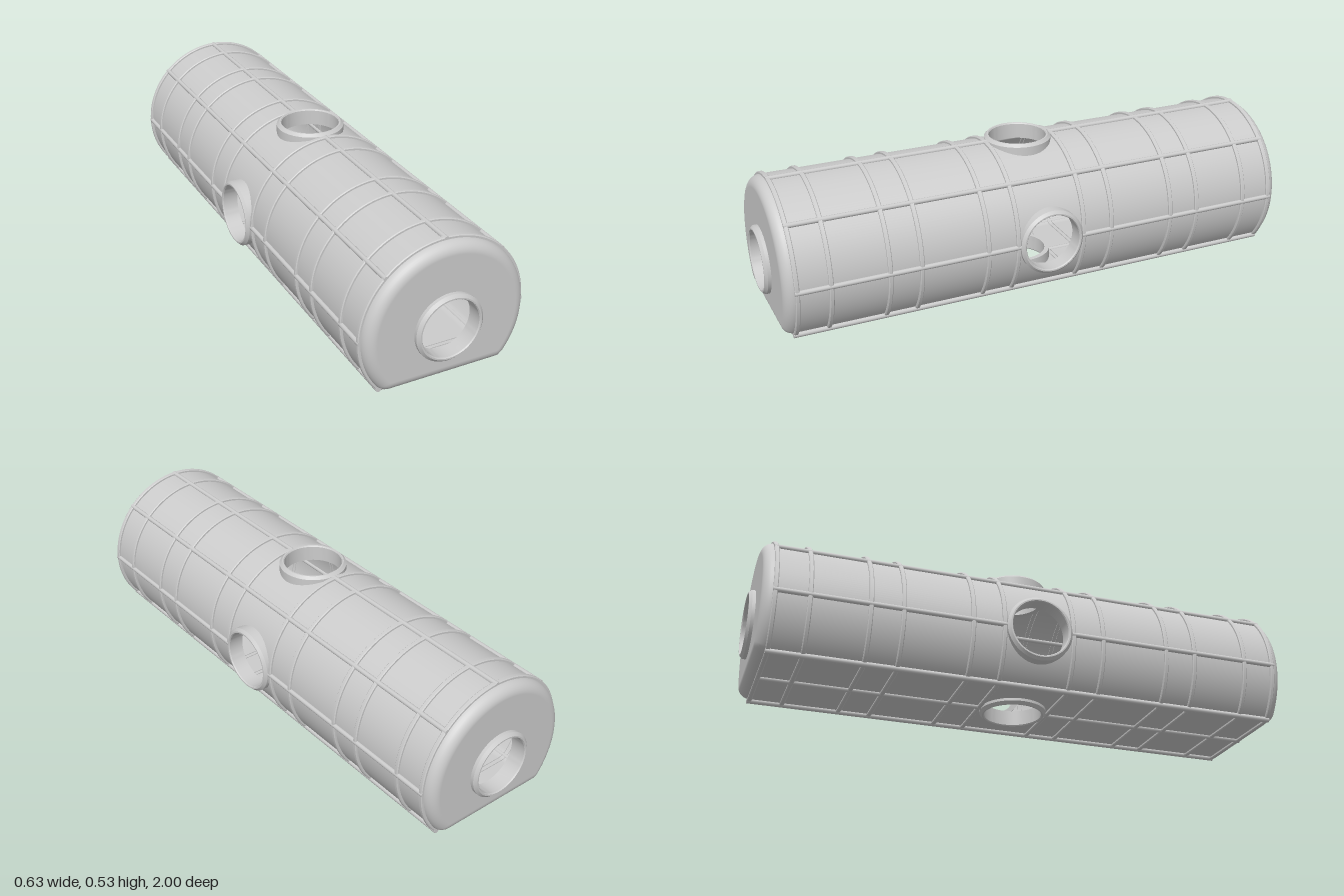
import * as THREE from 'three';
import { toCreasedNormals } from 'three/addons/utils/BufferGeometryUtils.js';

// D-shaped section: big arc, two small corner arcs, flat floor
const R = 0.295, CY = 0.216, FLOOR = 0.02, RF = 0.05;
const FX = Math.sqrt((R - RF) ** 2 - (CY - FLOOR - RF) ** 2);
const A = Math.atan2(CY - FLOOR - RF, FX);
const L1 = R * (Math.PI / 2 + A), L2 = RF * (Math.PI / 2 - A), HALF = L1 + L2 + FX;
const SIDE = R * Math.PI / 2;
const CORNER = L1 + L2 * 0.44;
const PATCH = 0.125, HOLE = 0.114, STRAIGHT = 0.938, ROUND = 0.04;

const material = new THREE.MeshStandardMaterial({ color: 0xcccccc, side: THREE.DoubleSide });

// Point and normal of the section at arc length s from the crown, offset outward by d
function section(s, d = 0) {
  if (s > HALF) s -= 2 * HALF;
  const sign = s < 0 ? -1 : 1, t = Math.abs(s);
  let th, x = 0, y = CY, r = R;
  if (t < L1) th = Math.PI / 2 - t / R;
  else if (t < L1 + L2) { th = -A - (t - L1) / RF; x = FX; y = FLOOR + RF; r = RF; }
  else { th = -Math.PI / 2; x = HALF - t; y = FLOOR + RF; r = RF; }
  const nx = Math.cos(th), ny = Math.sin(th);
  return { x: sign * (x + (r + d) * nx), y: y + (r + d) * ny, nx: sign * nx, ny };
}

// Grid surface; f(u, v) returns [s, d, z, tilt], tilt turning the normal towards +z
function surface(nu, nv, f) {
  const pos = [], nor = [], idx = [];
  for (let i = 0; i <= nu; i++) for (let j = 0; j <= nv; j++) {
    const [s, d, z, tilt = 0] = f(i / nu, j / nv);
    const p = section(s, d), c = Math.cos(tilt);
    pos.push(p.x, p.y, z);
    nor.push(p.nx * c, p.ny * c, Math.sin(tilt));
    if (i < nu && j < nv) {
      const a = i * (nv + 1) + j, b = a + nv + 1;
      idx.push(a, b, a + 1, b, b + 1, a + 1);
    }
  }
  const g = new THREE.BufferGeometry();
  g.setAttribute('position', new THREE.Float32BufferAttribute(pos, 3));
  g.setAttribute('normal', new THREE.Float32BufferAttribute(nor, 3));
  g.setIndex(idx);
  return g;
}

function add(parent, name, geometry) {
  const m = new THREE.Mesh(geometry, material);
  m.name = name;
  parent.add(m);
  return m;
}

const around = v => HALF * (2 * v - 1);

// Skin between the side openings
const strip = (s0, s1) => surface(1, 24, (u, v) => [s0 + (s1 - s0) * v, 0, PATCH * (2 * u - 1)]);

// Square patch of skin with a round opening
const holedPatch = s0 => surface(4, 64, (u, v) => {
  const t = v * Math.PI * 2, c = Math.cos(t), s = -Math.sin(t);
  const r = HOLE + (PATCH / Math.max(Math.abs(c), Math.abs(s)) - HOLE) * u;
  return [s0 + r * c, 0, r * s];
});

// Raised hoop with chamfered edges
const hoopProfile = [[-0.003, -0.008], [0.006, -0.008], [0.009, -0.005], [0.009, 0.005], [0.006, 0.008], [-0.003, 0.008]];
function hoop(z) {
  const n = hoopProfile.length - 1;
  return toCreasedNormals(surface(n, 160, (u, v) => {
    const [d, dz] = hoopProfile[Math.round(u * n)];
    return [around(v), d, z + dz];
  }), 0.5);
}

// Chamfered collar, mouth at local y = 0
const collarProfile = [[0.123, -0.06], [0.123, -0.01], [0.113, 0], [0.108, 0], [0.105, -0.004], [0.105, -0.06], [0.123, -0.06]];
const collarGeometry = toCreasedNormals(
  new THREE.LatheGeometry(collarProfile.map(p => new THREE.Vector2(...p)), 64), 0.5);

function endCap() {
  const pts = [];
  for (let i = 0; i < 192; i++) {
    const p = section(around(i / 192), -ROUND);
    pts.push(new THREE.Vector2(p.x, p.y));
  }
  const shape = new THREE.Shape(pts);
  shape.holes.push(new THREE.Path().absarc(0, CY, HOLE, 0, Math.PI * 2));
  return new THREE.ShapeGeometry(shape, 32).translate(0, 0, STRAIGHT + ROUND);
}

// Lengthwise rib at arc length s
function addRib(parent, s, z0, z1, d = 0.002, r = 0.009) {
  const p = section(s, d);
  const g = new THREE.CylinderGeometry(r, r, z1 - z0, 12).rotateX(Math.PI / 2);
  add(parent, 'lengthwiseRib', g).position.set(p.x, p.y, (z0 + z1) / 2);
}

function makeHalf() {
  const half = new THREE.Group();
  add(half, 'hullSkin', surface(1, 192, (u, v) => [around(v), 0, PATCH + (STRAIGHT - PATCH) * u]));
  add(half, 'roundedEndEdge', surface(8, 192, (u, v) => {
    const t = u * Math.PI / 2;
    return [around(v), ROUND * (Math.cos(t) - 1), STRAIGHT + ROUND * Math.sin(t), t];
  }));
  add(half, 'endCap', endCap());
  for (const z of [0.13, 0.245, 0.495, 0.61, 0.818, 0.935]) add(half, 'hoopRib', hoop(z));
  for (const s of [0, SIDE, -SIDE, HALF]) addRib(half, s, 0.123, 0.943);
  const collar = add(half, 'endCollar', collarGeometry);
  collar.position.set(0, CY, 1);
  collar.rotation.x = Math.PI / 2;
  return half;
}

export function createModel() {
  const model = new THREE.Group();
  model.name = 'ribbedModule';

  // Two matching halves
  const front = makeHalf();
  front.name = 'frontHalf';
  const back = makeHalf();
  back.name = 'backHalf';
  back.rotation.y = Math.PI;
  model.add(front, back);

  // Middle band with four openings
  const middle = new THREE.Group();
  middle.name = 'middleBand';
  model.add(middle);
  for (const s of [0, SIDE, -SIDE, HALF]) add(middle, 'openingPatch', holedPatch(s));
  for (const [a, b] of [[PATCH, SIDE - PATCH], [SIDE + PATCH, HALF - PATCH]]) {
    add(middle, 'middleSkin', strip(a, b));
    add(middle, 'middleSkin', strip(-b, -a));
  }

  // Collars on the roof, floor and both sides
  for (const [name, x, y, turn] of [
    ['topCollar', 0, 0.528, 0], ['bottomCollar', 0, 0, Math.PI],
    ['leftCollar', 0.315, CY, -Math.PI / 2], ['rightCollar', -0.315, CY, Math.PI / 2],
  ]) {
    const c = add(middle, name, collarGeometry);
    c.position.set(x, y, 0);
    c.rotation.z = turn;
  }

  // Full-length ribs on the shoulders and lower corners
  for (const side of [-1, 1]) {
    addRib(model, side * SIDE / 2, -0.943, 0.943);
    addRib(model, side * CORNER, -0.943, 0.943, 0.007, 0.01);
  }
  return model;
}
